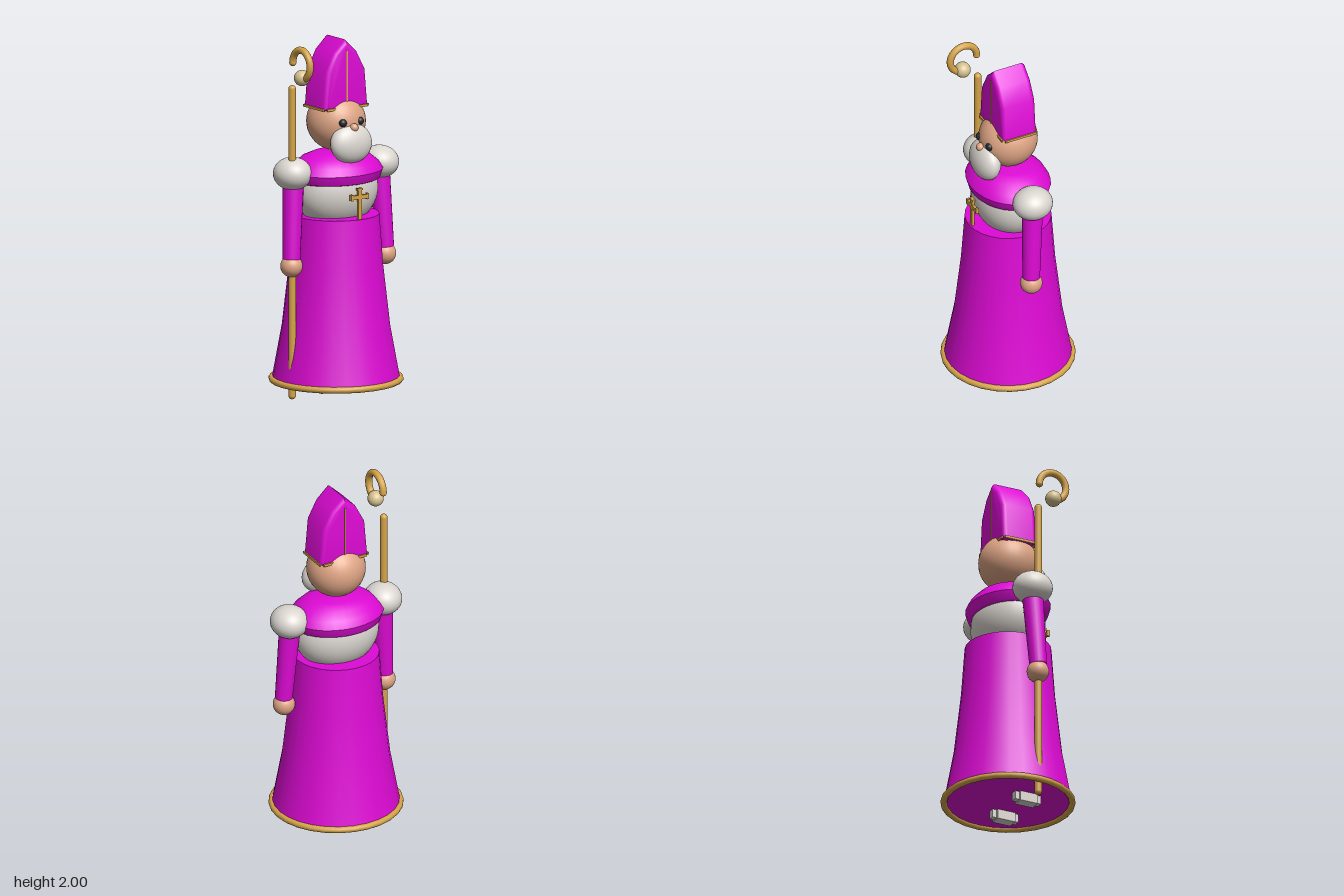
import * as THREE from 'three';
import { toCreasedNormals } from 'three/addons/utils/BufferGeometryUtils.js';

const mat = (name, color) => {
  const m = new THREE.MeshStandardMaterial({ color });
  m.name = name;
  return m;
};

export function createModel() {
  const root = new THREE.Group();
  root.name = 'bishopFigure';
  const magenta = mat('magenta', 0xdd0ad4);
  const gold = mat('gold', 0xd4a348);
  const paleGold = mat('paleGold', 0xd6c190);
  const skin = mat('skin', 0xdfa585);
  const white = mat('white', 0xdbd6d0);
  const dark = mat('eyeDark', 0x23262e);

  const add = (name, geo, material, x = 0, y = 0, z = 0, parent = root) => {
    const m = new THREE.Mesh(geo, material);
    m.name = name;
    m.position.set(x, y, z);
    parent.add(m);
    return m;
  };
  const box = (w, h, d) => new THREE.BoxGeometry(w, h, d);
  const ball = (rx, ry = rx, rz = rx) => new THREE.SphereGeometry(1, 32, 22).scale(rx, ry, rz);
  const lathe = (pts, seg = 28) => new THREE.LatheGeometry(pts.map(p => new THREE.Vector2(...p)), seg);
  const disc = (r, up) => new THREE.CircleGeometry(r, 28).rotateX(up ? -Math.PI / 2 : Math.PI / 2);
  const rod = (a, b, ra, rb) => {
    const dir = b.clone().sub(a);
    const g = new THREE.CylinderGeometry(rb, ra, dir.length(), 20);
    g.applyQuaternion(new THREE.Quaternion().setFromUnitVectors(new THREE.Vector3(0, 1, 0), dir.clone().normalize()));
    const mid = a.clone().add(b).multiplyScalar(0.5);
    return g.translate(mid.x, mid.y, mid.z);
  };

  // Flared robe with closed ends and a gold hem
  add('robe', lathe([[0.355, 0.08], [0.3, 0.38], [0.26, 0.73], [0.24, 1.01]]), magenta);
  add('robeBottom', disc(0.355, false), magenta, 0, 0.08, 0);
  add('robeTop', disc(0.24, true), magenta, 0, 1.01, 0);
  add('robeHem', new THREE.TorusGeometry(0.356, 0.018, 12, 28).rotateX(Math.PI / 2), gold, 0, 0.08, 0);

  // Torso and shoulder cape
  add('torso', ball(0.25, 0.22, 0.195), white, 0, 1.15, 0);
  const cape = new THREE.Group();
  cape.name = 'cape';
  cape.scale.x = 1.22;
  root.add(cape);
  add('capeBand', lathe([[0.2, 1.2], [0.212, 1.205], [0.226, 1.255]]), magenta, 0, 0, 0, cape);
  add('capeUnderside', disc(0.2, false), magenta, 0, 1.2, 0, cape);
  add('capeTop', lathe([[0.226, 1.255], [0.205, 1.295], [0.165, 1.335], [0.11, 1.36], [0.001, 1.37]]),
    magenta, 0, 0, 0, cape);

  // Shoulders, sleeves, hands and feet, mirrored
  for (const s of [-1, 1]) {
    const side = s > 0 ? 'left' : 'right';
    add(side + 'Shoulder', ball(0.106, 0.092, 0.113), white, 0.295 * s, 1.265, 0);
    add(side + 'Sleeve', rod(new THREE.Vector3(0.318 * s, 0.79, 0.022), new THREE.Vector3(0.29 * s, 1.25, 0), 0.049, 0.06), magenta);
    add(side + 'Hand', ball(0.062), skin, 0.317 * s, 0.75, 0.021);
    add(side + 'Foot', box(0.065, 0.06, 0.11), white, 0.135 * s, 0.055, 0.045);
    add(side + 'FootLength', box(0.038, 0.055, 0.16), white, 0.135 * s, 0.06, 0.045);
    add(side + 'Eye', ball(0.023), dark, 0.058 * s, 1.545, 0.145);
  }

  // Head
  add('head', ball(0.165), skin, 0, 1.53, 0);
  const beard = add('beard', ball(0.132, 0.112, 0.072), white, 0, 1.425, 0.143);
  beard.rotation.x = -0.12;
  add('nose', ball(0.024), skin, 0, 1.517, 0.172);

  // Mitre: pointed outline with rounded front and back edges
  const outline = new THREE.Shape([[-0.15, 1.61], [0.15, 1.61], [0.131, 1.825], [0.075, 1.93], [0, 2],
    [-0.075, 1.93], [-0.131, 1.825]].map(p => new THREE.Vector2(...p)));
  const mitreGeo = new THREE.ExtrudeGeometry(outline, {
    depth: 0.154, bevelEnabled: true, bevelThickness: 0.028, bevelSize: 0.028, bevelOffset: -0.028, bevelSegments: 5,
  }).translate(0, 0, -0.077);
  add('mitre', toCreasedNormals(mitreGeo, 0.6), magenta);
  for (const s of [-1, 1]) {
    add('mitreStripe', box(0.009, 0.325, 0.006), gold, 0, 1.778, 0.105 * s);
    add('mitreBandFace', box(0.27, 0.014, 0.008), gold, 0, 1.618, 0.106 * s);
    add('mitreBandSide', box(0.008, 0.014, 0.19), gold, 0.151 * s, 1.618, 0);
  }

  // Pectoral cross with widened ends
  const cross = new THREE.Group();
  cross.name = 'cross';
  cross.position.set(0, 1.135, 0.222);
  root.add(cross);
  add('crossUpright', box(0.022, 0.185, 0.016), gold, 0, -0.045, 0, cross);
  add('crossBar', box(0.11, 0.022, 0.016), gold, 0, 0, 0, cross);
  add('crossTopEnd', box(0.034, 0.012, 0.018), gold, 0, 0.044, 0, cross);
  for (const s of [-1, 1]) add('crossBarEnd', box(0.012, 0.034, 0.018), gold, 0.053 * s, 0, 0, cross);

  // Crozier: staff, open crook and knob
  add('staff', new THREE.CapsuleGeometry(0.021, 1.728, 6, 16), gold, -0.315, 0.885, 0.024);
  const crook = add('crook', new THREE.TorusGeometry(0.082, 0.02, 12, 40, Math.PI * 1.5), gold, -0.315, 1.898, 0.113);
  crook.rotation.y = Math.PI / 2;
  add('crookEnd', ball(0.02), gold, -0.315, 1.898, 0.031);
  add('crookKnob', ball(0.045), paleGold, -0.315, 1.825, 0.118);

  return root;
}
